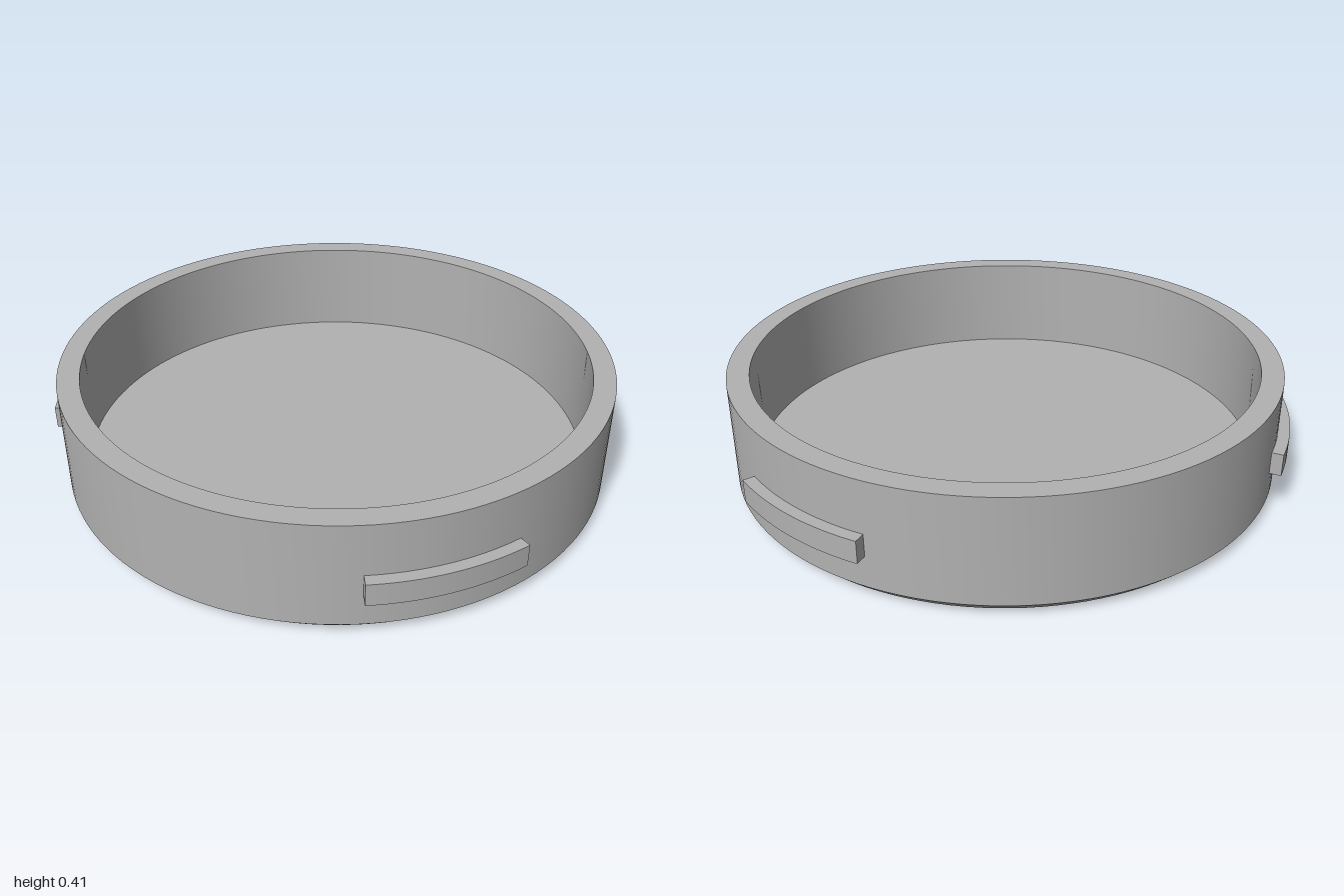
import * as THREE from 'three';
import { toCreasedNormals } from 'three/addons/utils/BufferGeometryUtils.js';

const AXIS_X = 0.02;   // the cup axis sits off centre, balancing the tab on the right
const R = 0.98;        // outer radius
const INNER = 0.902;   // inner radius
const HEIGHT = 0.415;
const FLOOR = 0.066;   // height of the inside floor
const CHAMFER = 0.04;

export function createModel() {
  const group = new THREE.Group();
  group.name = 'roundCap';
  const grey = new THREE.MeshStandardMaterial({ color: 0xb2b2b2 });
  grey.name = 'grey plastic';

  // Open cup: underside, chamfer, outer wall, rim, inner wall, floor
  const profile = [
    [0, 0], [R - CHAMFER, 0], [R, CHAMFER], [R, HEIGHT],
    [INNER, HEIGHT], [INNER, FLOOR], [0, FLOOR],
  ].map(([x, y]) => new THREE.Vector2(x, y));
  const cup = new THREE.Mesh(
    toCreasedNormals(new THREE.LatheGeometry(profile, 128), 0.5), grey);
  cup.name = 'cup';
  cup.position.x = AXIS_X;
  group.add(cup);

  // Three curved locking tabs, each spanning 30 degrees of the wall
  const half = Math.PI / 12;
  const sector = new THREE.Shape();
  sector.absarc(0, 0, 1.02, -half, half, false);
  sector.absarc(0, 0, 0.96, half, -half, true);
  sector.closePath();
  const tabGeometry = toCreasedNormals(
    new THREE.ExtrudeGeometry(sector, { depth: 0.08, bevelEnabled: false, curveSegments: 16 })
      .rotateX(-Math.PI / 2), 0.5);
  ['backLeft', 'right', 'frontLeft'].forEach((side, i) => {
    const tab = new THREE.Mesh(tabGeometry, grey);
    tab.name = side + 'LockingTab';
    tab.position.set(AXIS_X, 0.15, 0);
    tab.rotation.y = Math.PI / 3 + i * Math.PI * 2 / 3;
    group.add(tab);
  });

  return group;
}
